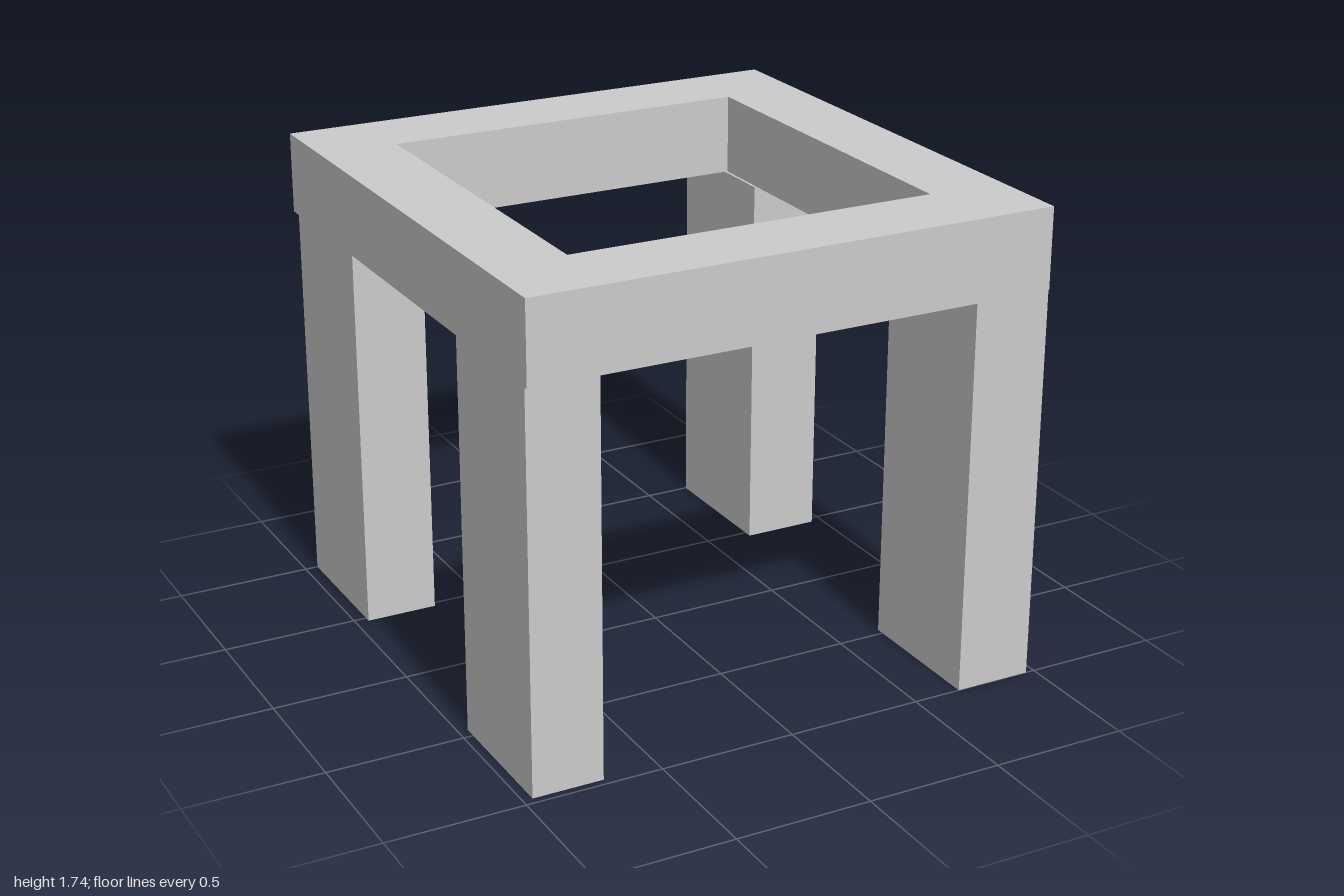
import * as THREE from 'three';

const material = new THREE.MeshStandardMaterial({ color: 0xcccccc, flatShading: true });

// Box given by its limits on each axis
function block(name, [x0, x1], [y0, y1], [z0, z1]) {
  const mesh = new THREE.Mesh(new THREE.BoxGeometry(x1 - x0, y1 - y0, z1 - z0), material);
  mesh.position.set((x0 + x1) / 2, (y0 + y1) / 2, (z0 + z1) / 2);
  mesh.name = name;
  return mesh;
}

function rectangle(PathType, x, z) {
  return new PathType([[-x, -z], [x, -z], [x, z], [-x, z]].map(([a, b]) => new THREE.Vector2(a, b)));
}

export function createModel() {
  const model = new THREE.Group();
  model.name = 'openFrameTable';
  const underside = 1.445, top = 1.74;

  // Square top frame with an open middle
  const outline = rectangle(THREE.Shape, 0.97, 1);
  outline.holes.push(rectangle(THREE.Path, 0.68, 0.695));
  const geometry = new THREE.ExtrudeGeometry(outline, { depth: top - underside, bevelEnabled: false });
  geometry.rotateX(-Math.PI / 2);
  const frame = new THREE.Mesh(geometry, material);
  frame.position.y = underside;
  frame.name = 'topFrame';
  model.add(frame);

  // Four broad legs, each slightly different in size and placing
  const legs = [
    ['frontLeftLeg', [0.68, 0.967], [0.47, 1]],
    ['frontRightLeg', [-0.965, -0.705], [0.455, 0.972]],
    ['backLeftLeg', [0.67, 0.958], [-1, -0.468]],
    ['backRightLeg', [-0.952, -0.685], [-1, -0.475]],
  ];
  for (const [name, x, z] of legs) model.add(block(name, x, [0, underside], z));

  return model;
}
